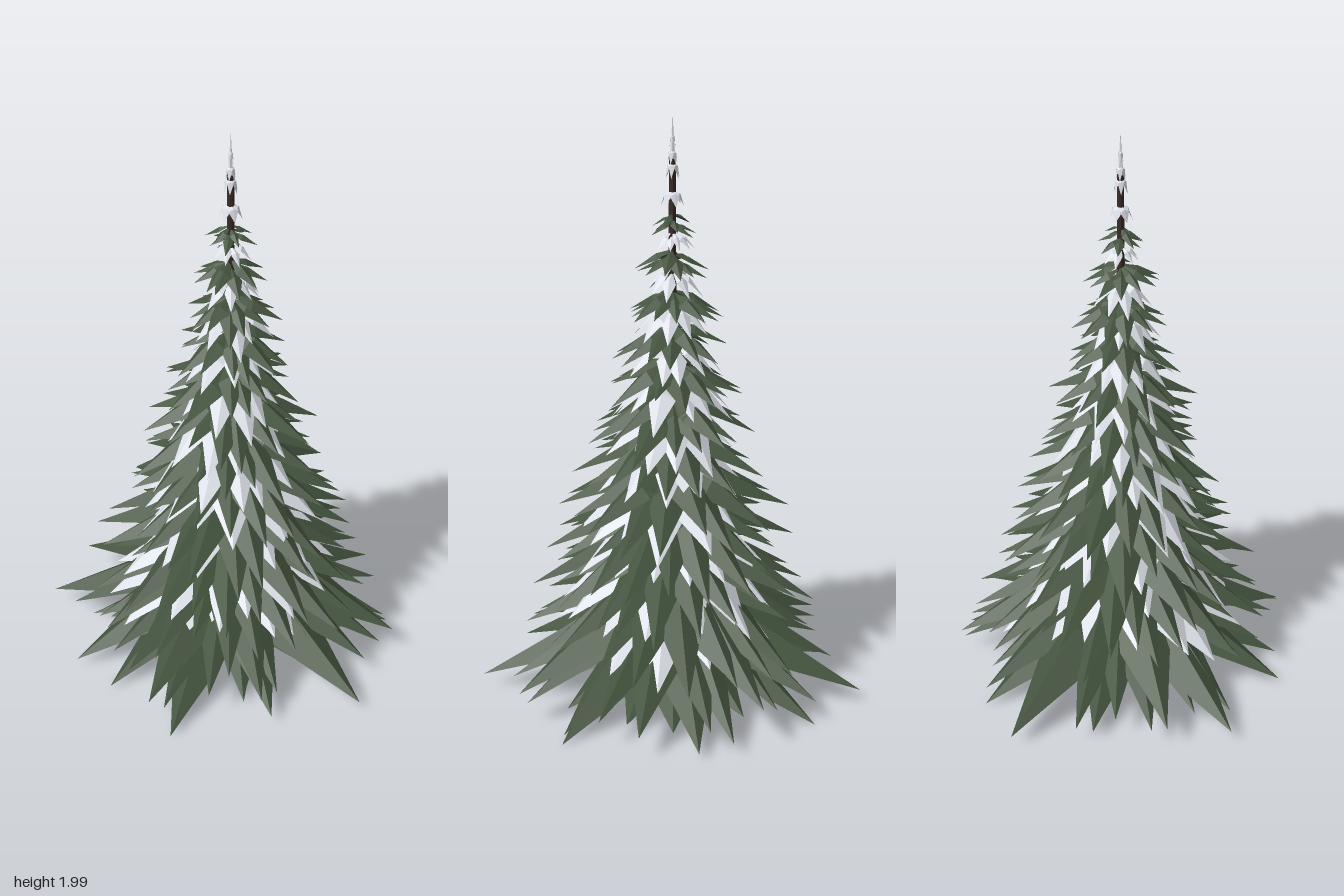
import * as THREE from 'three';

const mat = (color) => new THREE.MeshStandardMaterial({ color, flatShading: true, side: THREE.DoubleSide });
const GREEN = mat(0x44543f), SNOW = mat(0xdde0e8), BARK = mat(0x3a2b25);
const CX = 0.01, CZ = -0.025; // trunk axis

// small seeded generator
let seed = 7;
const rand = () => (seed = (seed * 16807) % 2147483647) / 2147483647;
const jitter = (amount) => (rand() * 2 - 1) * amount;

// one folded frond, arching out from the trunk and then drooping to its tip
function addFrond(out, y, angle, length, drop, halfWidth, belly = 0.43) {
  const c = Math.cos(angle), s = Math.sin(angle);
  const at = (along, side, h) => [CX + c * along - s * side, h, CZ + s * along + c * side];
  const root = at(0, 0, y);
  const tip = at(length, 0, y - drop);
  const ridge = at(length * belly, 0, y - drop * 0.2);
  const rim = y - drop * 0.2 - length * 0.13;
  const left = at(length * belly, halfWidth, rim);
  const right = at(length * belly, -halfWidth, rim);
  out.push(...root, ...left, ...ridge, ...left, ...tip, ...ridge);
  out.push(...root, ...ridge, ...right, ...right, ...ridge, ...tip);
}

function frondMesh(points, material, name) {
  const geo = new THREE.BufferGeometry();
  geo.setAttribute('position', new THREE.Float32BufferAttribute(points, 3));
  geo.computeVertexNormals();
  const mesh = new THREE.Mesh(geo, material);
  mesh.name = name;
  return mesh;
}

const reachAt = (y) => 0.63 * Math.pow(1 - (y - 0.2) / 1.75, 1.1);

export function createModel() {
  seed = 7;
  const tree = new THREE.Group();
  tree.name = 'snowySpruce';

  // trunk
  const trunk = new THREE.Mesh(new THREE.CylinderGeometry(0.011, 0.024, 1.76, 7), BARK);
  trunk.position.set(CX, 0.98, CZ);
  trunk.name = 'trunk';
  tree.add(trunk);

  // longest fronds at the foot, given by their tips
  const tips = [
    [0.58, 0.01, -0.2], [0.64, 0.14, -0.03], [0.61, 0.06, 0.28], [0.34, 0.06, 0.45], [0.03, 0.02, 0.62],
    [-0.07, 0.1, 0.57], [-0.26, 0.02, 0.48], [-0.42, 0.04, 0.42], [-0.46, 0.04, 0.18], [-0.64, 0.07, 0.14],
    [-0.6, 0.12, -0.08], [-0.47, 0.06, -0.3], [-0.4, 0.06, -0.57], [-0.17, 0.02, -0.6], [0.07, 0.17, -0.62],
    [0.27, 0.04, -0.54], [0.43, 0.1, -0.43], [0.22, 0.04, 0.4], [0.43, 0.05, 0.1],
  ];
  const skirt = [];
  for (const [x, y, z] of tips) {
    const length = Math.hypot(x - CX, z - CZ);
    const drop = length > 0.56 ? 0.27 : 0.2;
    addFrond(skirt, y + drop, Math.atan2(z - CZ, x - CX), length, drop, length * 0.18);
  }
  // shorter ring closing the underside
  for (let k = 0; k < 12; k++) {
    addFrond(skirt, 0.22, ((k + jitter(0.2)) / 12) * Math.PI * 2, 0.44 + jitter(0.04), 0.17, 0.1, 0.5);
  }
  tree.add(frondMesh(skirt, GREEN, 'skirtFronds'));

  // tiers of green fronds, each over a steeper ring of snowy ones
  const tiers = 12;
  for (let i = 0; i < tiers; i++) {
    const y = 0.36 + i * 0.119;
    const reach = reachAt(y);
    const turn = i * 2.4;
    const green = [];
    const count = Math.round(23 - i * 1.15);
    for (let k = 0; k < count; k++) {
      const length = reach * (0.93 + jitter(0.13));
      addFrond(green, y + jitter(0.018), turn + ((k + jitter(0.3)) / count) * Math.PI * 2,
        length, length * (0.47 + jitter(0.08)), length * (0.155 + i * 0.005));
    }
    tree.add(frondMesh(green, GREEN, 'greenTier' + (i + 1)));

    if (i === 0) continue; // the lowest tier stays bare of snow
    const snow = [];
    const snowCount = 15 - Math.floor(i * 0.6);
    for (let k = 0; k < snowCount; k++) {
      const length = reach * (0.77 + jitter(0.1));
      addFrond(snow, y - 0.05 + jitter(0.012), turn + 0.2 + ((k + jitter(0.3)) / snowCount) * Math.PI * 2,
        length, length * (0.52 + i * 0.025 + jitter(0.08)), length * 0.22, 0.55);
    }
    tree.add(frondMesh(snow, SNOW, 'snowTier' + (i + 1)));
  }

  // steep snowy tufts round the leader
  const tufts = [];
  for (const [y, r, drop] of [[1.76, 0.038, 0.05], [1.85, 0.024, 0.05], [1.89, 0.018, 0.05], [1.94, 0.01, 0.05]]) {
    for (let k = 0; k < 6; k++) addFrond(tufts, y, (k + y * 5) * Math.PI / 3, r, drop, r * 0.45, 0.6);
  }
  tree.add(frondMesh(tufts, SNOW, 'topTufts'));

  // pointed leader
  const leader = new THREE.Mesh(new THREE.ConeGeometry(0.01, 0.16, 5), SNOW);
  leader.position.set(CX, 1.92, CZ);
  leader.name = 'leader';
  tree.add(leader);

  return tree;
}
